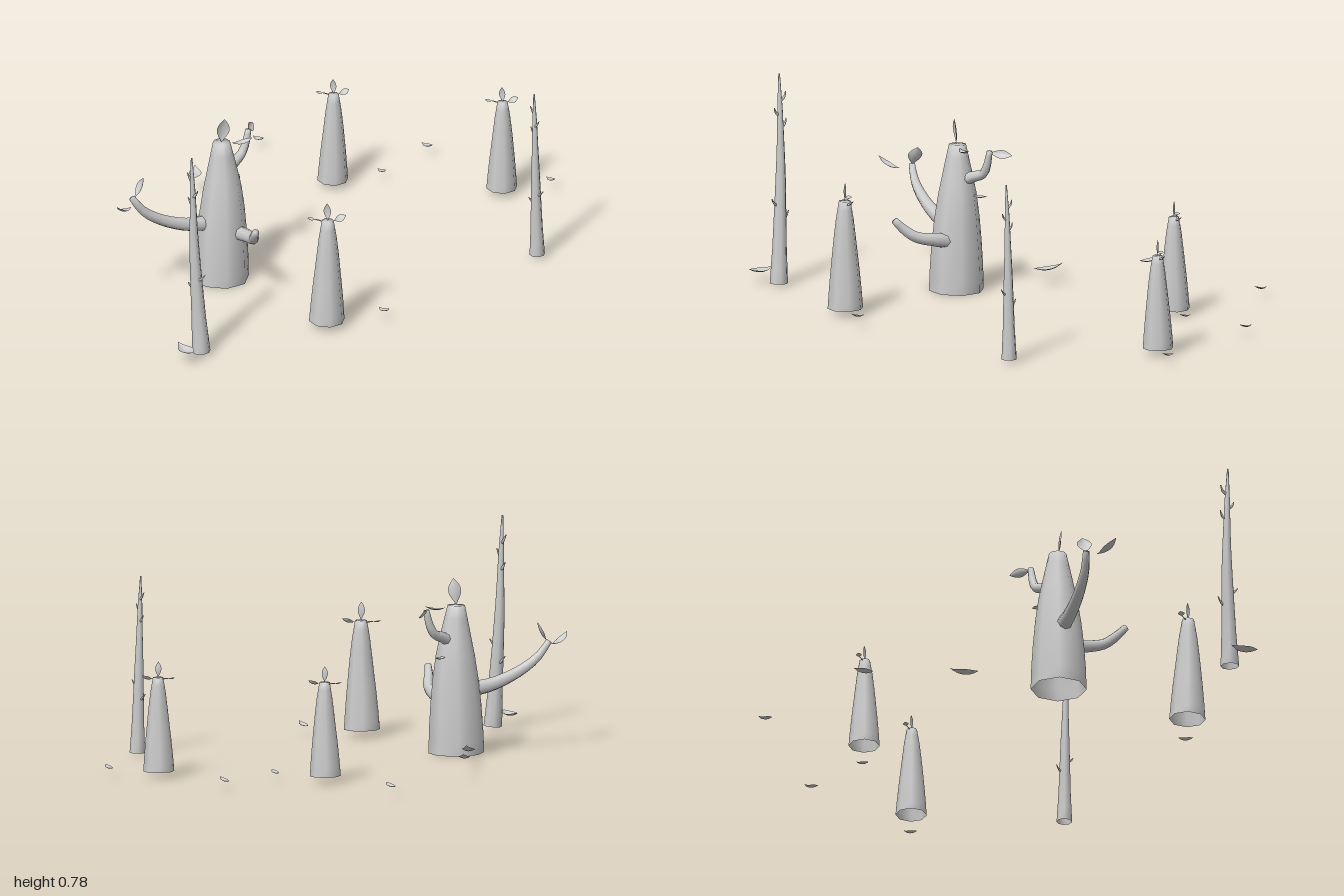
import * as THREE from 'three';
import { mergeVertices } from 'three/addons/utils/BufferGeometryUtils.js';

const V = (p) => new THREE.Vector3(...p);
const bark = new THREE.MeshStandardMaterial({ color: 0xcccccc, side: THREE.DoubleSide });

function add(parent, geometry, name) {
  const mesh = new THREE.Mesh(geometry, bark);
  mesh.name = name;
  parent.add(mesh);
  return mesh;
}

// Tapered limb swept along points; radii are spread evenly along it, the tip is capped.
function limb(points, radii, sides = 8, rings = 13) {
  const curve = new THREE.CatmullRomCurve3(points.map(V));
  const geo = new THREE.TubeGeometry(curve, rings, 1, sides);
  const pos = geo.attributes.position;
  const v = new THREE.Vector3();
  for (let i = 0; i <= rings; i++) {
    const centre = curve.getPointAt(i / rings);
    const u = Math.min(1, i / (rings - 1));
    const moved = curve.getPointAt(u);
    const f = u * (radii.length - 1);
    const k = Math.min(Math.floor(f), radii.length - 2);
    const r = i === rings ? 0 : THREE.MathUtils.lerp(radii[k], radii[k + 1], f - k);
    for (let j = 0; j <= sides; j++) {
      const n = i * (sides + 1) + j;
      v.fromBufferAttribute(pos, n).sub(centre).multiplyScalar(r).add(moved);
      pos.setXYZ(n, v.x, v.y, v.z);
    }
  }
  geo.deleteAttribute('uv');
  geo.deleteAttribute('normal');
  const merged = mergeVertices(geo);
  merged.computeVertexNormals();
  return merged;
}

// Cupped almond leaf from its stem to its tip; "up" is the side it curls towards.
function leaf(from, to, width, up = [0, 1, 0], curl = 0.16) {
  const a = V(from);
  const along = V(to).sub(a);
  const length = along.length();
  const side = along.clone().cross(V(up)).normalize();
  const normal = side.clone().cross(along).normalize();
  const geo = new THREE.PlaneGeometry(1, 1, 4, 8);
  const pos = geo.attributes.position;
  for (let i = 0; i < pos.count; i++) {
    const t = pos.getY(i) + 0.5;
    const s = pos.getX(i) * 2;
    const half = (width / 2) * Math.sin(Math.PI * Math.pow(t, 1.15));
    const lift = length * curl * (4 * t * t - 4 * t) + half * 0.35 * s * s;
    const p = a.clone().addScaledVector(along, t).addScaledVector(side, s * half).addScaledVector(normal, lift);
    pos.setXYZ(i, p.x, p.y, p.z);
  }
  geo.computeVertexNormals();
  return geo;
}

// Large stump with three arms and its leaves
function mainTree() {
  const g = new THREE.Group();
  g.name = 'mainTree';
  add(g, limb([[-0.184, 0.007, 0.3], [-0.183, 0.2, 0.298], [-0.183, 0.38, 0.295], [-0.186, 0.55, 0.297]],
    [0.102, 0.099, 0.093, 0.084, 0.071, 0.052, 0.032]), 'mainTrunk');
  add(g, limb([[-0.2, 0.235, 0.32], [-0.25, 0.25, 0.42], [-0.305, 0.295, 0.52], [-0.342, 0.345, 0.58], [-0.368, 0.4, 0.61]],
    [0.03, 0.026, 0.022, 0.018, 0.012]), 'rightArm');
  add(g, limb([[-0.13, 0.2, 0.29], [-0.06, 0.215, 0.32], [-0.006, 0.23, 0.36], [0.025, 0.265, 0.4], [0.045, 0.295, 0.42]],
    [0.028, 0.025, 0.021, 0.018, 0.013]), 'leftArm');
  add(g, limb([[-0.18, 0.42, 0.27], [-0.18, 0.44, 0.22], [-0.178, 0.455, 0.18], [-0.172, 0.49, 0.16], [-0.168, 0.545, 0.146]],
    [0.024, 0.02, 0.017, 0.014, 0.011]), 'backArm');
  const leaves = [
    [[-0.184, 0.55, 0.3], [-0.17, 0.647, 0.3], 0.048, [0.7, 0, 0.7], 0.05],
    [[-0.16, 0.542, 0.27], [-0.112, 0.55, 0.205], 0.035],
    [[-0.362, 0.4, 0.605], [-0.345, 0.472, 0.57], 0.055, [-0.6, 0.3, 0.7], 0.1],
    [[-0.35, 0.383, 0.645], [-0.347, 0.42, 0.74], 0.035],
    [[-0.168, 0.54, 0.147], [-0.198, 0.532, 0.068], 0.034, [1, 0.7, 0], 0.06],
    [[-0.185, 0.372, 0.235], [-0.19, 0.37, 0.172], 0.03],
  ];
  leaves.forEach((l) => add(g, leaf(...l), 'branchLeaf'));
  return g;
}

// Small stump with a tuft of three leaves on thin stems, modelled at the origin
function smallStump(x, y, z, size, turn, lean) {
  const g = new THREE.Group();
  g.name = 'smallStump';
  add(g, limb([[0, 0, 0], [0.002, 0.13, 0], [0.004, 0.26, 0], [0.004, 0.4, 0]],
    [0.066, 0.061, 0.055, 0.048, 0.041, 0.033, 0.022]), 'smallTrunk');
  add(g, leaf([0.004, 0.4, 0], [0.002, 0.468, 0], 0.028, [0.3, 0, 1], 0.06), 'crownLeaf');
  add(g, leaf([0.018, 0.395, -0.02], [0.045, 0.41, -0.058], 0.03, [0.5, 1, 0.2]), 'crownLeaf');
  add(g, leaf([-0.04, 0.398, 0.012], [-0.066, 0.403, 0.028], 0.024), 'crownLeaf');
  add(g, limb([[0, 0.39, 0], [-0.025, 0.396, 0.008], [-0.042, 0.398, 0.012]], [0.003, 0.002], 4, 4), 'leafStem');
  g.position.set(x, y, z);
  g.scale.setScalar(size);
  g.rotation.set(0, turn, lean);
  return g;
}

// Tall bare trunk with short twigs on alternate sides
function tallTree(x, y, z, size, curve, turn) {
  const g = new THREE.Group();
  g.name = 'tallTree';
  const path = [[0, 0, 0], [-0.013 * curve, 0.2, 0.004], [-0.025 * curve, 0.42, 0.008], [-0.028 * curve, 0.6, 0.012], [-0.03 * curve, 0.775, 0.018]];
  add(g, limb(path, [0.034, 0.027, 0.023, 0.019, 0.014, 0.01, 0.003]), 'tallTrunk');
  const line = new THREE.CatmullRomCurve3(path.map(V));
  [[0.235, -1], [0.29, 1], [0.58, -1], [0.625, 1], [0.68, -1]].forEach(([h, s], i) => {
    const p = line.getPointAt(h / 0.775);
    const reach = (h < 0.4 ? 0.044 : 0.027) * s;
    const depth = (i % 2 ? 0.008 : -0.008);
    add(g, limb([[p.x, h - 0.008, p.z], [p.x + reach * 0.6, h + 0.006, p.z + depth], [p.x + reach, h + 0.026, p.z + depth]],
      [0.006, 0.005, 0.002], 5, 5), 'twig');
  });
  g.position.set(x, y, z);
  g.scale.setScalar(size);
  g.rotation.y = turn;
  return g;
}

export function createModel() {
  const model = new THREE.Group();
  model.name = 'leafyStumps';
  model.add(mainTree());
  model.add(smallStump(0.361, 0.03, 0.43, 1, 0, 0.0));
  model.add(smallStump(0.27, 0.028, -0.862, 0.86, 0, 0.0));
  model.add(smallStump(-0.28, 0.028, -0.58, 0.86, 0, 0.0));
  model.add(tallTree(0.11, 0.015, 0.878, 1, 1, 0));
  model.add(tallTree(0.677, 0.017, -0.48, 0.835, 0.15, 0));

  // Curled leaves scattered over the ground
  const fallen = [
    [[0.05, 0.062, 0.94], [0.145, 0.06, 0.985], 0.055],
    [[-0.46, 0.09, 0.015], [-0.405, 0.067, 0.108], 0.05],
    [[-0.672, 0.108, -0.265], [-0.63, 0.09, -0.205], 0.045],
    [[0.482, 0.05, 0.27], [0.54, 0.062, 0.29], 0.03],
    [[-0.71, 0.042, -0.705], [-0.652, 0.052, -0.688], 0.03],
    [[-0.163, 0.045, -0.99], [-0.105, 0.055, -0.973], 0.028],
    [[-0.175, 0.045, -0.718], [-0.128, 0.054, -0.7], 0.026],
    [[0.375, 0.045, -0.998], [0.425, 0.054, -0.978], 0.026],
  ];
  fallen.forEach((l) => add(model, leaf(...l), 'fallenLeaf'));
  return model;
}
